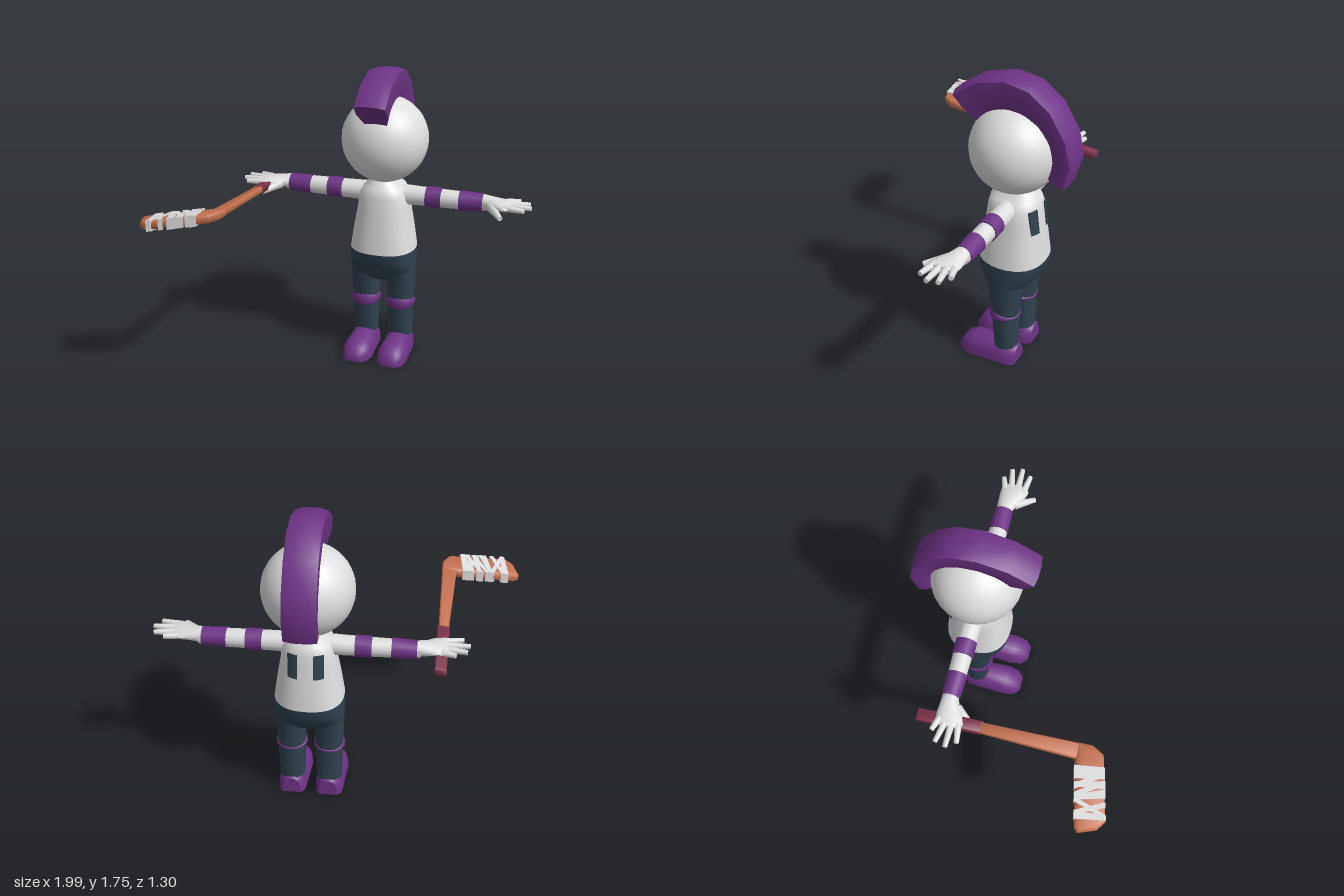
import * as THREE from 'three';
import { toCreasedNormals } from 'three/addons/utils/BufferGeometryUtils.js';

const paint = (name, color) => {
  const m = new THREE.MeshStandardMaterial({ color });
  m.name = name;
  return m;
};
const V = (x, y, z) => new THREE.Vector3(x, y, z);
const spow = (v, p) => Math.sign(v) * Math.pow(Math.abs(v), p);

// skin a list of equal-sized rings, with flat caps
function loft(rings) {
  const n = rings[0].length, pos = [], idx = [];
  rings.forEach(r => r.forEach(p => pos.push(p.x, p.y, p.z)));
  for (let i = 0; i < rings.length - 1; i++)
    for (let j = 0; j < n; j++) {
      const a = i * n + j, b = i * n + (j + 1) % n;
      idx.push(a, b, a + n, b, b + n, a + n);
    }
  [0, rings.length - 1].forEach((k, end) => {
    const c = V(0, 0, 0);
    rings[k].forEach(p => c.addScaledVector(p, 1 / n));
    const ci = pos.length / 3;
    pos.push(c.x, c.y, c.z);
    for (let j = 0; j < n; j++) {
      const a = k * n + j, b = k * n + (j + 1) % n;
      idx.push(ci, end ? a : b, end ? b : a);
    }
  });
  const g = new THREE.BufferGeometry();
  g.setAttribute('position', new THREE.Float32BufferAttribute(pos, 3));
  g.setIndex(idx);
  return g;
}

const angles = n => Array.from({ length: n }, (_, j) => j / n * Math.PI * 2);
// horizontal (super)ellipse ring, for shapes growing upwards
const ringY = (y, rx, rz, cx = 0, cz = 0, e = 2, n = 32) => angles(n).map(a =>
  V(cx + rx * spow(Math.cos(a), 2 / e), y, cz - rz * spow(Math.sin(a), 2 / e)));
// upright ellipse ring, for shapes growing along +x
const ringX = (x, ry, rz, cy = 1, cz = 0, n = 16) => angles(n).map(a =>
  V(x, cy + ry * Math.cos(a), cz + rz * Math.sin(a)));

// mirrored copy of an indexed geometry
function mirror(g) {
  const m = g.clone().scale(-1, 1, 1), ix = m.index.array;
  for (let i = 0; i < ix.length; i += 3) [ix[i], ix[i + 1]] = [ix[i + 1], ix[i]];
  return m;
}

// tapered rod between two points
function rod(a, b, r0, r1) {
  const d = b.clone().sub(a);
  const g = new THREE.CylinderGeometry(r1, r0, d.length(), 8);
  g.applyQuaternion(new THREE.Quaternion().setFromUnitVectors(V(0, 1, 0), d.clone().normalize()));
  return g.translate((a.x + b.x) / 2, (a.y + b.y) / 2, (a.z + b.z) / 2);
}

export function createModel() {
  const white = paint('white', 0xdedede), purple = paint('purple', 0x6e3386);
  const navy = paint('navy', 0x30424f), wood = paint('wood', 0xc4714f);
  const maroon = paint('maroon', 0x7d3349);

  const model = new THREE.Group();
  model.name = 'player';
  const body = new THREE.Group();
  body.name = 'body';
  body.position.set(0.13, 0, -0.31);
  model.add(body);

  const add = (parent, name, geo, mat) => {
    const g = geo.index || geo.attributes.normal ? geo : geo.toNonIndexed();
    if (!g.attributes.normal) g.computeVertexNormals();
    const m = new THREE.Mesh(toCreasedNormals(g, 0.9), mat);
    m.name = name;
    parent.add(m);
  };
  const pair = (name, geo, mat) => {
    add(body, 'left' + name, geo, mat);
    add(body, 'right' + name, mirror(geo), mat);
  };

  // head
  add(body, 'head', new THREE.SphereGeometry(0.25, 28, 18).translate(0, 1.33, 0.01), white);

  // crest of hair: outer edge given as [z, y], inner edge follows the head
  const outer = [[0.04, 1.6], [-0.1, 1.7], [-0.265, 1.745], [-0.41, 1.72],
    [-0.53, 1.63], [-0.625, 1.475], [-0.655, 1.335], [-0.62, 1.2]];
  const section = [[-0.065, 0], [-0.09, 0.5], [-0.088, 0.92], [-0.04, 1],
    [0.04, 1], [0.088, 0.92], [0.09, 0.5], [0.065, 0]];
  add(body, 'hairCrest', loft(outer.map(([z, y], i) => {
    const a = (34 + 170 * i / 7) * Math.PI / 180;
    const iz = 0.01 + 0.24 * Math.cos(a), iy = 1.33 + 0.24 * Math.sin(a);
    return section.map(([x, t]) => V(x, iy + (y - iy) * t, iz + (z + 0.31 - iz) * t));
  })), purple);

  // shirt
  add(body, 'shirt', loft([[0.67, 0.193, 0.186], [0.8, 0.174, 0.171], [0.93, 0.151, 0.155],
    [1.0, 0.145, 0.146], [1.05, 0.12, 0.135], [1.08, 0.075, 0.1], [1.12, 0.06, 0.07]]
    .map(([y, rx, rz]) => ringY(y, rx, rz, 0, 0, 2.4))), white);

  // two upright bars bent onto the back of the shirt
  const bar = new THREE.BoxGeometry(0.055, 0.14, 0.008, 4, 4, 1).translate(0.07, 0.94, 0);
  const bp = bar.attributes.position;
  for (let i = 0; i < bp.count; i++) {
    const rz = 0.155 - 0.13 * (bp.getY(i) - 0.93);
    bp.setZ(i, bp.getZ(i) - 0.001 - rz * Math.pow(1 - Math.pow(bp.getX(i) / 0.15, 2.4), 1 / 2.4));
  }
  pair('BackBar', bar, navy);

  // arms, sleeve bands and hands
  pair('Arm', loft([[0.08, 0.06, 0.06], [0.2, 0.056, 0.057], [0.45, 0.052, 0.052], [0.6, 0.043, 0.045]]
    .map(([x, ry, rz]) => ringX(x, ry, rz))), white);
  pair('UpperSleeveBand', loft([ringX(0.25, 0.061, 0.06), ringX(0.34, 0.061, 0.06)]), purple);
  pair('LowerSleeveBand', loft([ringX(0.445, 0.057, 0.057), ringX(0.58, 0.052, 0.052)]), purple);
  pair('Palm', loft([[0.58, 0.043, 0.045, 0], [0.63, 0.036, 0.057, 0.01], [0.68, 0.03, 0.075, 0.025],
    [0.72, 0.025, 0.08, 0.032], [0.745, 0.018, 0.068, 0.03]]
    .map(([x, ry, rz, cz]) => ringX(x, ry, rz, 1.008, cz))), white);
  const fingers = [[0.71, -0.025, 0.785, -0.052], [0.72, 0.01, 0.845, -0.016],
    [0.72, 0.045, 0.86, 0.043], [0.71, 0.08, 0.825, 0.098]];
  fingers.forEach(([x0, z0, x1, z1], i) =>
    pair('Finger' + (i + 1), rod(V(x0, 1.01, z0), V(x1, 1.012, z1), 0.021, 0.014), white));
  pair('Thumb', rod(V(0.63, 1.0, 0.05), V(0.705, 0.975, 0.155), 0.028, 0.015), white);

  // trousers
  add(body, 'hips', loft([[0.47, 0.175, 0.075], [0.51, 0.19, 0.108], [0.56, 0.193, 0.15],
    [0.61, 0.193, 0.178], [0.672, 0.192, 0.187]]
    .map(([y, rx, rz]) => ringY(y, rx, rz, 0, 0, 2.5))), navy);
  pair('Leg', loft([[0.1, 0.073, 0.066, -0.01], [0.32, 0.079, 0.078, -0.003], [0.5, 0.085, 0.1, 0],
    [0.56, 0.085, 0.11, 0]].map(([y, rx, rz, cz]) => ringY(y, rx, rz, 0.107, cz, 2.2, 24))), navy);

  // knee bands, taller at the front
  pair('KneeBand', loft([[-1, 0.081], [-0.6, 0.088], [0.6, 0.088], [1, 0.081]].map(([s, r]) =>
    ringY(0, r, r, 0.107, 0, 2, 24).map(p =>
      p.setY(0.324 + s * (0.021 + 0.016 * p.z / 0.09))))), purple);

  // shoes: dome sections from heel to toe, given as [z, half width, height]
  pair('Shoe', loft([[-0.087, 0.055, 0.1], [-0.06, 0.076, 0.115], [0.0, 0.082, 0.128], [0.07, 0.084, 0.122],
    [0.18, 0.091, 0.11], [0.24, 0.077, 0.085], [0.272, 0.045, 0.03]].map(([z, w, h]) =>
    angles(24).map(a => V(0.107 + w * spow(Math.cos(a), 0.8), h * Math.max(0, spow(Math.sin(a), 0.8)), z)))), purple);

  // hockey stick: plan outlines [x, z] given thickness, then slanted together
  const stick = new THREE.Group();
  stick.name = 'stick';
  model.add(stick);
  const slant = new THREE.Matrix4().set(1, 0, 0, 0, 0.17, 1, 0.1, 1.1136, 0, 0, 1, 0, 0, 0, 0, 1);
  const slab = (name, outline, h, b, mat) => {
    const shape = new THREE.Shape(outline.map(p => new THREE.Vector2(...p)));
    const g = new THREE.ExtrudeGeometry(shape, { depth: h - 2 * b, bevelEnabled: b > 0,
      bevelThickness: b, bevelSize: b, bevelOffset: -b, bevelSegments: 1 });
    g.rotateX(Math.PI / 2).translate(0, h / 2 - b, 0).applyMatrix4(slant);
    add(stick, name, g, mat);
  };
  slab('grip', [[-0.612, -0.465], [-0.548, -0.465], [-0.546, -0.1], [-0.614, -0.1]], 0.046, 0.006, maroon);
  slab('shaft', [[-0.608, -0.12], [-0.553, -0.12], [-0.55, 0.47], [-0.635, 0.45]], 0.04, 0.008, wood);
  slab('blade', [[-0.55, 0.42], [-0.55, 0.497], [-0.585, 0.56], [-0.6, 0.567], [-0.92, 0.647],
    [-0.965, 0.615], [-1, 0.52], [-0.98, 0.497], [-0.645, 0.422]], 0.05, 0.01, wood);

  // tape strips wound round the blade: start and end along its back and front edge
  const back = u => [-0.98 + 0.335 * u, 0.494 - 0.075 * u];
  const front = u => [-0.92 + 0.32 * u, 0.651 - 0.08 * u];
  [[0.12, 0.24, 0.02, 0.1], [0.18, 0.25, 0.22, 0.3], [0.38, 0.46, 0.02, 0.1], [0.4, 0.47, 0.36, 0.5],
    [0.44, 0.52, 0.56, 0.64], [0.6, 0.68, 0.5, 0.62], [0.72, 0.92, 0.66, 0.84], [0.56, 0.64, 0.7, 0.8]]
    .forEach(([a, b, c, d], i) =>
      slab('tape' + (i + 1), [back(a), back(b), front(d), front(c)], 0.06 + 0.002 * (i % 4), 0, white));

  return model;
}
